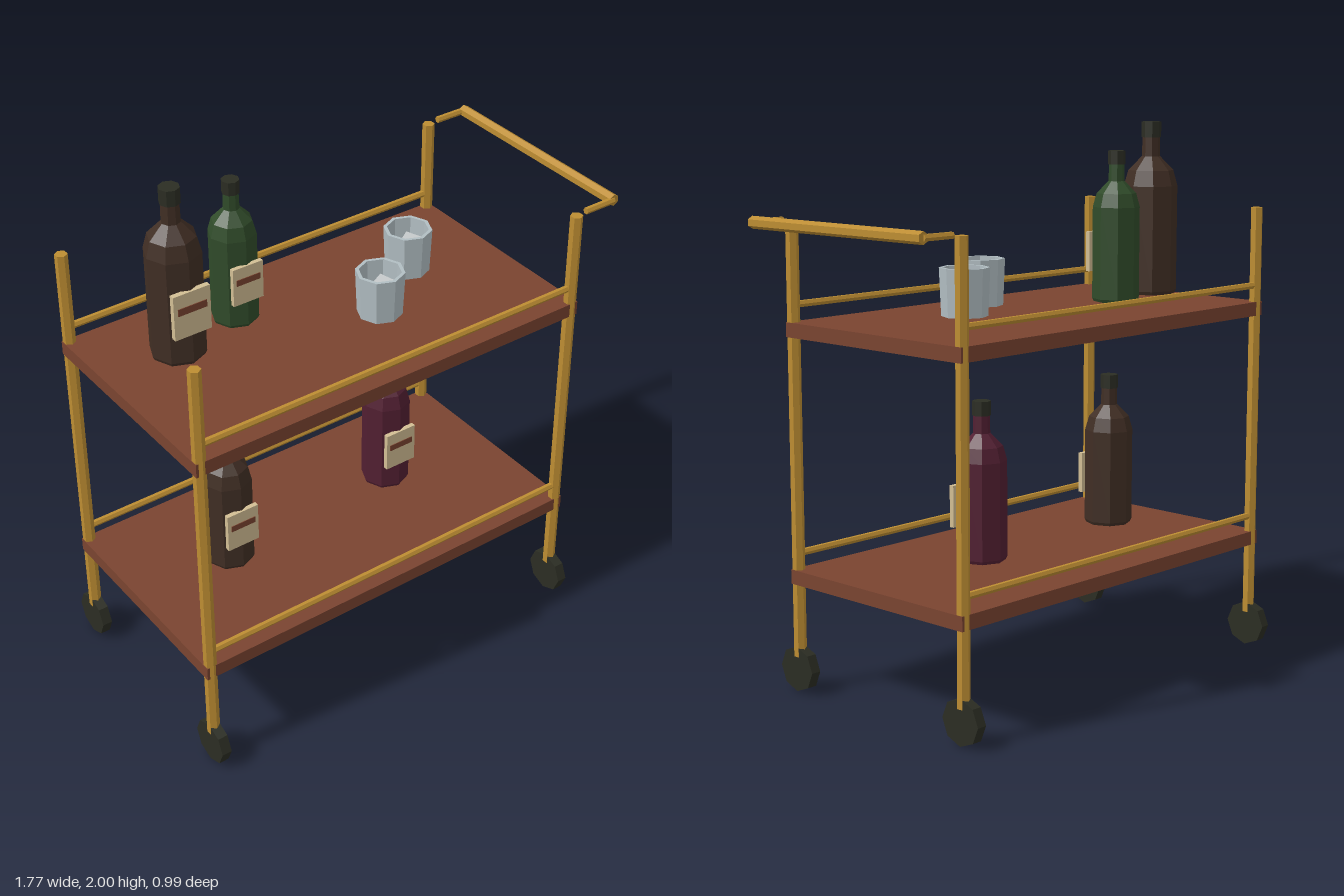
import * as THREE from 'three';

const mat = (name, color) => new THREE.MeshStandardMaterial({ name, color });

// Faceted copy of a geometry, one normal per face
function faceted(geo) {
  const g = geo.index ? geo.toNonIndexed() : geo;
  g.computeVertexNormals();
  return g;
}

export function createModel() {
  const M = {
    wood: mat('wood', 0x7a4430),
    brass: mat('brass', 0xbd8d32),
    black: mat('black', 0x2b2d23),
    brown: mat('brown glass', 0x402e24),
    green: mat('green glass', 0x304b2a),
    wine: mat('wine glass', 0x521f32),
    label: mat('label paper', 0xd2be94),
    glass: mat('clear glass', 0xb2bec3),
    ice: mat('ice', 0xc4c8c9),
  };
  const cart = new THREE.Group();
  cart.name = 'barCart';

  function add(parent, name, geo, material, x = 0, y = 0, z = 0) {
    const m = new THREE.Mesh(faceted(geo), material);
    m.name = name;
    m.position.set(x, y, z);
    parent.add(m);
    return m;
  }
  const lathe = (pts, sides = 8) =>
    new THREE.LatheGeometry(pts.map(([r, y]) => new THREE.Vector2(r, y)), sides);
  const rod = (r, len, axis, sides = 6) => {
    const g = new THREE.CylinderGeometry(r, r, len, sides);
    if (axis === 'x') g.rotateZ(Math.PI / 2);
    if (axis === 'z') g.rotateX(Math.PI / 2);
    return g;
  };

  const CX = -0.085, HX = 0.778, HZ = 0.412;

  // Shelves with front and back rails
  for (const [label, y, railY] of [['lower', 0.422, 0.507], ['upper', 1.306, 1.393]]) {
    add(cart, label + 'Shelf', new THREE.BoxGeometry(1.6, 0.052, 0.856), M.wood, CX, y, 0);
    for (const s of [1, -1])
      add(cart, label + 'Rail', rod(0.013, HX * 2, 'x'), M.brass, CX, railY, s * HZ);
  }

  // Corner posts and wheels
  for (const sx of [1, -1]) {
    for (const sz of [1, -1]) {
      add(cart, 'post', rod(0.023, 1.557, 'y'), M.brass, CX + sx * HX, 0.9065, sz * HZ);
      add(cart, 'wheel', rod(0.083, 0.038, 'x', 8), M.black, CX + sx * HX, 0.083, sz * HZ);
    }
  }

  // Push handle
  add(cart, 'handleBar', rod(0.022, 0.83, 'z'), M.brass, 0.862, 1.688, 0);
  for (const s of [1, -1])
    add(cart, 'handleArm', rod(0.0125, 0.128, 'x'), M.brass, 0.798, 1.688, s * HZ);

  // Bottle of radius r and height h, with cap and label
  function bottle(name, material, x, y, z, r, h) {
    const g = new THREE.Group();
    g.name = name;
    g.position.set(x, y, z);
    cart.add(g);
    add(g, 'bottleBody', lathe([
      [0, 0], [0.94 * r, 0], [r, 0.02 * h], [r, 0.63 * h], [0.84 * r, 0.72 * h],
      [0.34 * r, 0.8 * h], [0.32 * r, 0.93 * h], [0, 0.93 * h],
    ]), material);
    add(g, 'cap', new THREE.CylinderGeometry(0.37 * r, 0.37 * r, 0.09 * h, 8), M.black, 0, 0.955 * h, 0);
    add(g, 'label', new THREE.BoxGeometry(1.43 * r, 0.266 * h, 0.2 * r), M.label, 0, 0.329 * h, 0.97 * r);
    add(g, 'labelStripe', new THREE.BoxGeometry(1.12 * r, 0.042 * h, 0.004), M.wood, 0, 0.361 * h, 1.07 * r + 0.001);
  }
  bottle('tallBrownBottle', M.brown, -0.612, 1.362, -0.106, 0.1, 0.638);
  bottle('greenBottle', M.green, -0.338, 1.362, -0.172, 0.085, 0.543);
  bottle('lowerBrownBottle', M.brown, -0.508, 0.478, 0, 0.09, 0.573);
  bottle('wineBottle', M.wine, 0.23, 0.478, -0.044, 0.09, 0.573);

  // Tumblers with a drink and an ice cube
  for (const [x, z, turn] of [[0.083, 0.103, 0.4], [0.333, -0.066, 0.52]]) {
    const g = new THREE.Group();
    g.name = 'tumbler';
    g.position.set(x, 1.362, z);
    cart.add(g);
    add(g, 'glassWall', lathe([
      [0, 0], [0.081, 0], [0.088, 0.168], [0.075, 0.168], [0.07, 0.015], [0, 0.015],
    ]), M.glass);
    add(g, 'drink', new THREE.CylinderGeometry(0.071, 0.069, 0.055, 8), M.brass, 0, 0.0425, 0);
    const cube = add(g, 'iceCube', new THREE.BoxGeometry(0.066, 0.066, 0.066), M.ice, 0.014, 0.085, 0);
    cube.rotation.set(0.15, turn, 0.12);
  }

  return cart;
}
